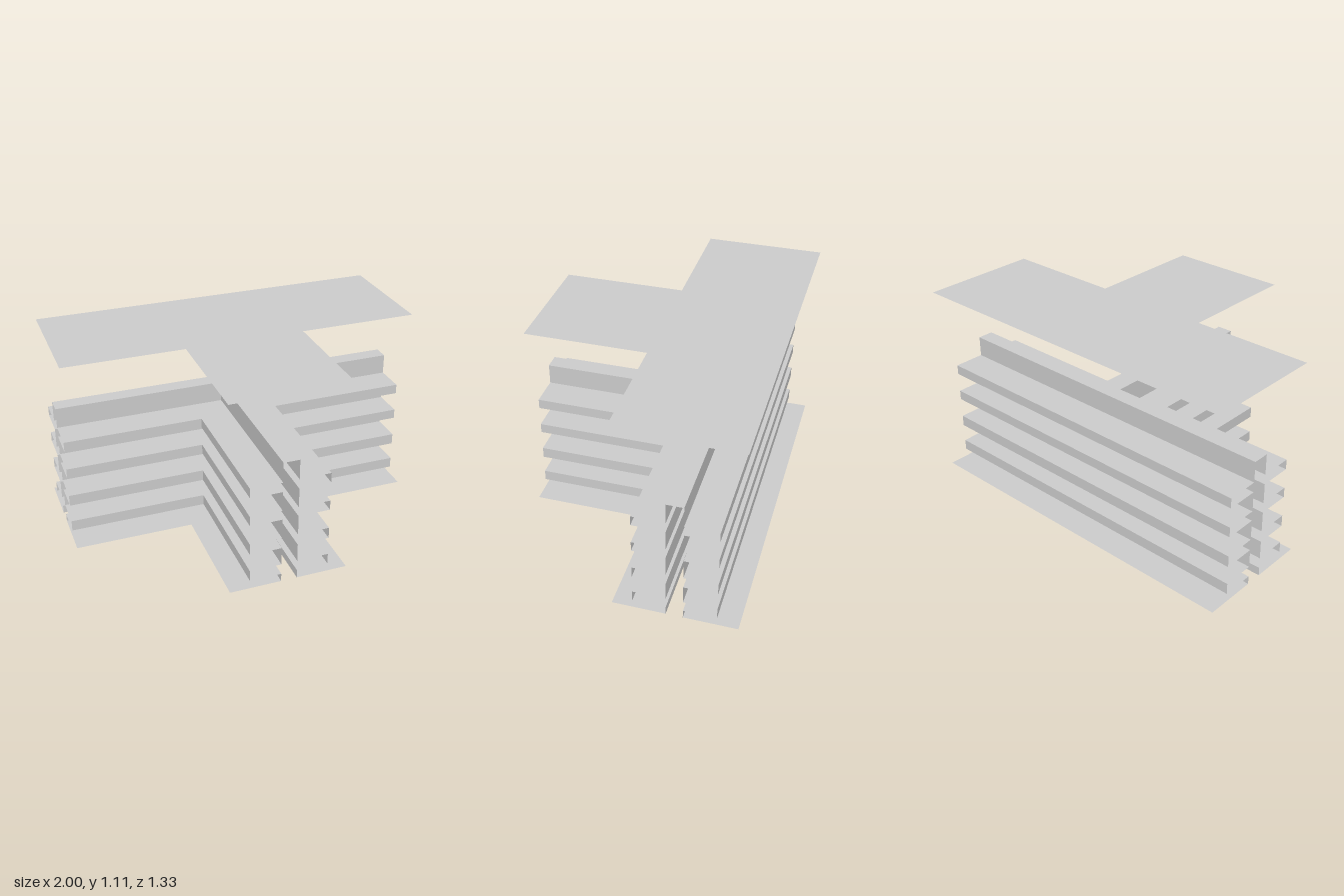
import * as THREE from 'three';

const AXIS_Z = -1 / 3;   // centre line of the crossbar
const STEM_END = 2 / 3;  // front end of the stem
const TOP = 0.733;
const CORE = 0.045, FLANGE = 0.222, PLATE = 1 / 3; // half widths

const material = new THREE.MeshStandardMaterial({
  color: 0xcccccc, flatShading: true, side: THREE.DoubleSide,
});

// The three sides of a T whose arms have half width h, as [x, z] paths
const SIDES = {
  rightSide: h => [[-h, STEM_END], [-h, AXIS_Z + h], [-1, AXIS_Z + h]],
  leftSide: h => [[1, AXIS_Z + h], [h, AXIS_Z + h], [h, STEM_END]],
  backSide: h => [[-1, AXIS_Z - h], [1, AXIS_Z - h]],
};

// Sweeps a [halfWidth, y] profile along one side of the T
function sweepSide(profile, path) {
  const rows = profile.map(([h, y]) => path(h).map(([x, z]) => [x, y, z]));
  const positions = [];
  for (let i = 0; i < rows.length - 1; i++) {
    for (let j = 0; j < rows[i].length - 1; j++) {
      const a = rows[i][j], b = rows[i + 1][j];
      const c = rows[i + 1][j + 1], d = rows[i][j + 1];
      positions.push(...a, ...b, ...c, ...a, ...c, ...d);
    }
  }
  const geometry = new THREE.BufferGeometry();
  geometry.setAttribute('position', new THREE.Float32BufferAttribute(positions, 3));
  geometry.computeVertexNormals();
  return geometry;
}

// Flat T-shaped sheet at height y
function tSheet(h, y) {
  const outline = [...SIDES.leftSide(h), ...SIDES.rightSide(h), ...SIDES.backSide(h)];
  const shape = new THREE.Shape(outline.map(([x, z]) => new THREE.Vector2(x, -z)));
  return new THREE.ShapeGeometry(shape).rotateX(-Math.PI / 2).translate(0, y, 0);
}

export function createModel() {
  const model = new THREE.Group();
  const add = (name, geometry) => {
    const mesh = new THREE.Mesh(geometry, material);
    mesh.name = name;
    model.add(mesh);
  };

  // Profile: base sheet, then the narrow core stepping out into hollow flanges
  const profile = [[PLATE, 0], [CORE, 0]];
  for (const [low, high] of [[0.047, 0.109], [0.214, 0.278], [0.393, 0.449], [0.561, 0.617]]) {
    profile.push([CORE, low], [FLANGE, low], [FLANGE, high], [CORE, high]);
  }
  profile.push([CORE, TOP]);

  // Ribbed walls, open at the three ends of the T
  for (const [name, path] of Object.entries(SIDES)) {
    add(`${name}RibbedWall`, sweepSide(profile, path));
  }

  // Cap closing the core, and the sheet floating above it
  add('coreCap', tSheet(CORE, TOP));
  add('roofSheet', tSheet(PLATE, 10 / 9));
  return model;
}
